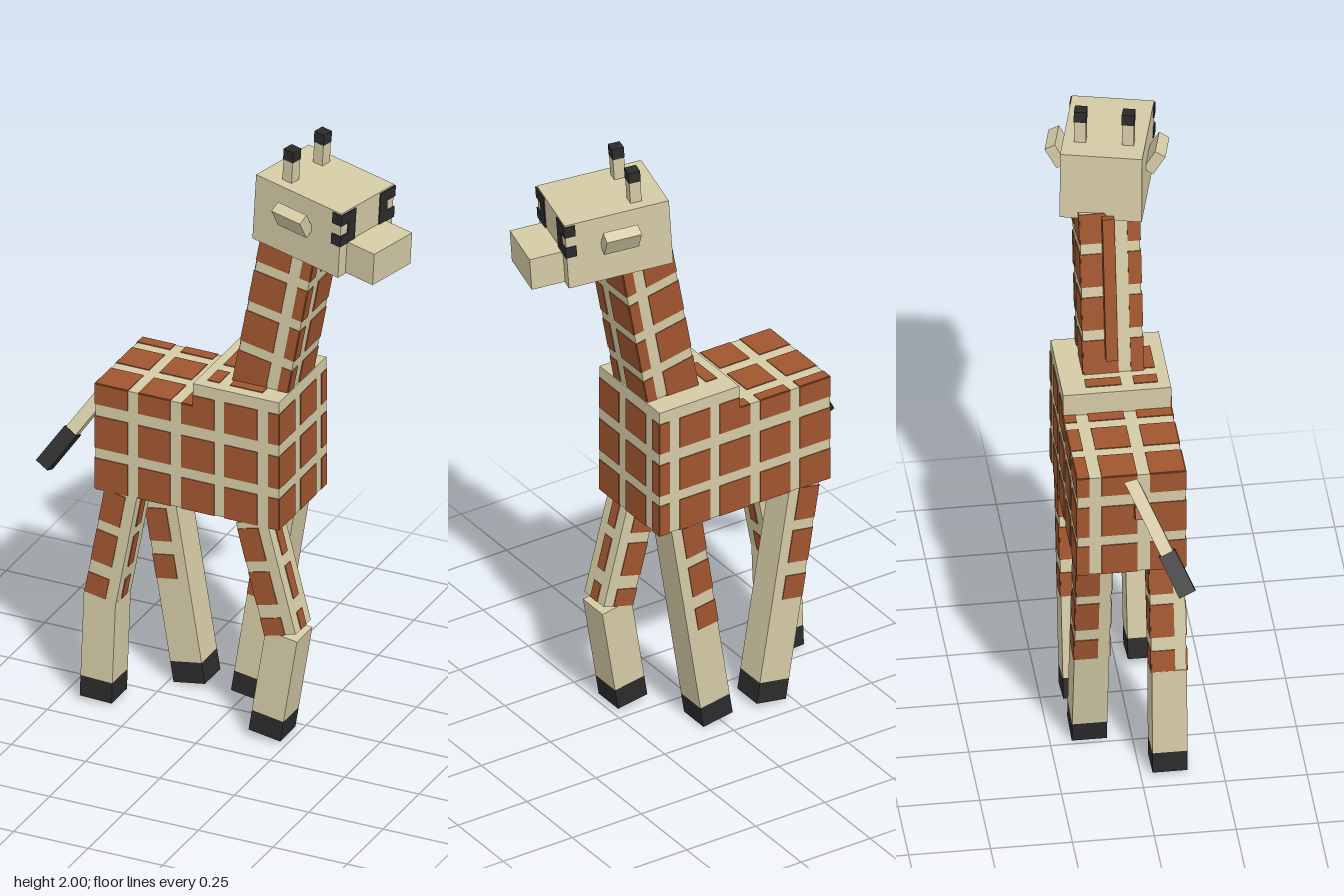
import * as THREE from 'three';

const mat = (name, color) => {
  const m = new THREE.MeshStandardMaterial({ color });
  m.name = name;
  return m;
};

export function createModel() {
  const cream = mat('cream', 0xd4caa5);
  const brown = mat('brown', 0xa0562f);
  const black = mat('black', 0x2b2b2c);
  const model = new THREE.Group();
  model.name = 'giraffe';

  const group = (name, parent, x, y, z) => {
    const g = new THREE.Group();
    g.name = name;
    g.position.set(x, y, z);
    parent.add(g);
    return g;
  };

  // Box given by its minimum and maximum corners
  const box = (name, parent, material, min, max) => {
    const s = max.map((v, i) => v - min[i]);
    const m = new THREE.Mesh(new THREE.BoxGeometry(...s), material);
    m.name = name;
    m.position.set(...min.map((v, i) => v + s[i] / 2));
    parent.add(m);
    return m;
  };

  // Thin brown patches on one side of a box: ranges are per axis, clipped to the box
  const patches = (parent, min, max, axis, sign, ranges) => {
    const [u, v] = [0, 1, 2].filter((i) => i !== axis);
    const at = sign > 0 ? max[axis] : min[axis];
    for (const a of ranges[u]) for (const b of ranges[v]) {
      const lo = [], hi = [];
      lo[axis] = at - 0.003;
      hi[axis] = at + 0.003;
      [[u, a], [v, b]].forEach(([i, r]) => {
        lo[i] = Math.max(r[0], min[i]);
        hi[i] = Math.min(r[1], max[i]);
      });
      if (hi[u] - lo[u] > 0.003 && hi[v] - lo[v] > 0.003) box('coatPatch', parent, brown, lo, hi);
    }
  };

  // Body: low rump and raised shoulders
  const body = group('body', model, 0, 0, 0);
  const coat = [
    [[-0.4, -0.28], [-0.245, -0.137], [-0.1, 0.01], [0.045, 0.155], [0.192, 0.24]],
    [[0.73, 0.84], [0.875, 0.985], [1.025, 1.13]],
    [[-0.2, -0.15], [-0.113, -0.004], [0.034, 0.15]],
  ];
  const rump = [[-0.39, 0.735, -0.187], [-0.062, 1.093, 0.143]];
  const chest = [[-0.062, 0.735, -0.187], [0.227, 1.17, 0.143]];
  box('rump', body, cream, ...rump);
  box('shoulders', body, cream, ...chest);
  for (const part of [rump, chest]) {
    patches(body, ...part, 2, 1, coat);
    patches(body, ...part, 2, -1, coat);
    patches(body, ...part, 1, -1, coat);
  }
  patches(body, ...rump, 0, -1, coat);
  patches(body, ...rump, 1, 1, coat);
  patches(body, ...chest, 0, 1, coat);
  patches(body, ...chest, 1, 1, [[[-0.03, 0.01], [0.045, 0.155]], [], [[-0.113, -0.004], [0.034, 0.107]]]);

  // Leaning neck with a mane ridge behind it
  const neck = group('neck', model, 0.13, 1.17, -0.02);
  neck.rotation.z = -0.183;
  const neckBox = [[-0.09, -0.06, -0.091], [0.09, 0.52, 0.091]];
  box('neckCore', neck, cream, ...neckBox);
  const neckCoat = [
    [[-0.09, 0.02], [0.057, 0.09]],
    [[-0.06, 0.095], [0.13, 0.24], [0.275, 0.385], [0.42, 0.52]],
    [[-0.091, 0.016], [0.053, 0.091]],
  ];
  for (const axis of [0, 2]) for (const sign of [-1, 1]) patches(neck, ...neckBox, axis, sign, neckCoat);
  box('mane', neck, brown, [-0.12, 0.035, -0.025], [-0.088, 0.51, 0.012]);

  // Head, turned and tipped slightly down
  const head = group('head', model, 0.305, 1.775, -0.005);
  head.rotation.set(0, -0.24, -0.065);
  box('skull', head, cream, [-0.168, -0.112, -0.125], [0.168, 0.112, 0.125]);
  box('snout', head, cream, [0.15, -0.108, -0.09], [0.275, 0, 0.09]);
  for (const s of [-1, 1]) {
    const bar = (name, material, min, max) => {
      const z = [min[2] * s, max[2] * s].sort((a, b) => a - b);
      return box(name, head, material, [min[0], min[1], z[0]], [max[0], max[1], z[1]]);
    };
    // Eye frame wrapping the front corner, open on the outside
    bar('eyeTop', black, [0.136, 0.07, 0.058], [0.172, 0.107, 0.129]);
    bar('eyeInner', black, [0.136, 0.034, 0.058], [0.172, 0.07, 0.093]);
    bar('eyeBottom', black, [0.136, -0.002, 0.058], [0.172, 0.034, 0.129]);
    // Horns
    bar('horn', cream, [-0.093, 0.1, 0.055], [-0.057, 0.183, 0.091]);
    bar('hornTip', black, [-0.094, 0.183, 0.054], [-0.056, 0.22, 0.092]);
    // Ears lean outwards
    const ear = box('ear', head, cream, [-0.056, -0.037, -0.018], [0.056, 0.037, 0.018]);
    ear.position.set(0, 0.032, 0.15 * s);
    ear.rotation.x = 0.52 * s;
  }

  // Leg segment hanging from one point to another in the side plane
  const W = 0.0535;
  const segment = (name, from, to, z, hoof) => {
    const g = group(name, model, from[0], from[1], z);
    const dx = to[0] - from[0], dy = to[1] - from[1];
    const len = Math.hypot(dx, dy);
    g.rotation.z = Math.atan2(dx, -dy);
    const part = [[-W, hoof ? 0.07 - len : -len, -W], [W, 0, W]];
    box(name + 'Shaft', g, cream, ...part);
    if (hoof) box('hoof', g, black, [-W, -len, -W], [W, 0.07 - len, W]);
    return { g, part };
  };
  const spots = [[-0.13, -0.02], [-0.275, -0.165], [-0.4, -0.32]];
  const legCoat = [[[-W, 0.018]], spots, [[-0.018, 0.018]]];
  const spotted = ({ g, part }, front) => {
    patches(g, ...part, 2, 1, legCoat);
    patches(g, ...part, 2, -1, legCoat);
    patches(g, ...part, 0, -1, [[], spots, [[-W, 0.018]]]);
    if (front) patches(g, ...part, 0, 1, legCoat);
  };

  // Bent legs on one side, straight legs on the other
  const zBent = 0.089, zStraight = -0.13;
  spotted(segment('rearThigh', [-0.302, 0.75], [-0.373, 0.365], zBent), true);
  segment('rearShin', [-0.375, 0.375], [-0.389, 0.01], zBent, true);
  spotted(segment('frontThigh', [0.135, 0.74], [0.231, 0.375], zBent), true);
  segment('frontShin', [0.235, 0.372], [0.178, 0.018], zBent, true);
  spotted(segment('rearStraightLeg', [-0.302, 0.75], [-0.18, 0.01], zStraight, true));
  spotted(segment('frontStraightLeg', [0.13, 0.75], [0.013, 0.01], zStraight, true));

  // Tail swinging back and to the side, with a dark tuft
  const start = new THREE.Vector3(-0.385, 1.05, -0.015);
  const dir = new THREE.Vector3(-0.57, 0.765, 0.125).sub(start);
  const len = dir.length();
  const tail = group('tail', model, ...start.toArray());
  tail.quaternion.setFromUnitVectors(new THREE.Vector3(0, -1, 0), dir.normalize());
  box('tailShaft', tail, cream, [-0.02, 0.14 - len, -0.02], [0.02, 0.02, 0.02]);
  box('tailTuft', tail, black, [-0.024, -len, -0.027], [0.024, 0.14 - len, 0.027]);
  const root = box('tailRoot', model, brown, [-0.43, 0.945, -0.015], [-0.385, 0.985, 0.025]);
  root.rotation.z = -0.5;

  return model;
}
